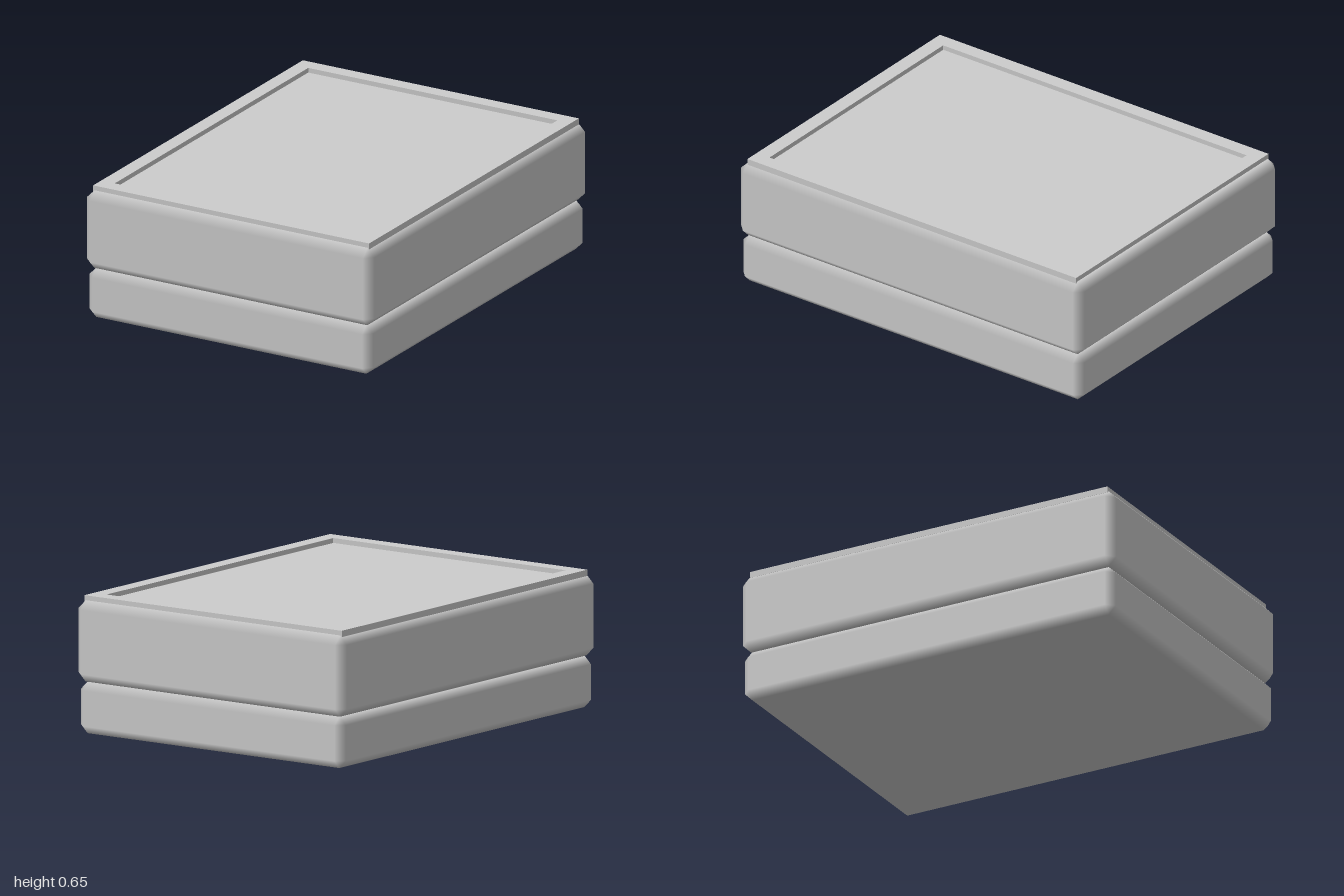
import * as THREE from 'three';
import { ConvexGeometry } from 'three/addons/geometries/ConvexGeometry.js';

// Box with chamfered edges; each vertex takes the normal of the flat face it borders,
// so the faces stay flat and the chamfers shade softly.
function chamferedBox(hx, hy, hz, c) {
  const half = [hx, hy, hz];
  const points = [];
  for (const sx of [-1, 1]) for (const sy of [-1, 1]) for (const sz of [-1, 1]) {
    const signs = [sx, sy, sz];
    for (let axis = 0; axis < 3; axis++) {
      const p = signs.map((s, i) => s * (half[i] - (i === axis ? 0 : c)));
      points.push(new THREE.Vector3(...p));
    }
  }
  const geometry = new ConvexGeometry(points);
  const pos = geometry.attributes.position;
  const normal = geometry.attributes.normal;
  for (let i = 0; i < pos.count; i++) {
    const p = [pos.getX(i), pos.getY(i), pos.getZ(i)];
    const n = p.map((v, k) => (Math.abs(Math.abs(v) - half[k]) < 1e-4 ? Math.sign(v) : 0));
    normal.setXYZ(i, ...n);
  }
  return geometry;
}

// Rectangle outline centred on the origin
function rectangle(target, hx, hz) {
  target.moveTo(-hx, -hz);
  target.lineTo(hx, -hz);
  target.lineTo(hx, hz);
  target.lineTo(-hx, hz);
  target.closePath();
  return target;
}

export function createModel() {
  const group = new THREE.Group();
  const grey = new THREE.MeshStandardMaterial({ color: 0xcccccc });
  grey.name = 'light grey';

  const add = (name, geometry, y) => {
    const mesh = new THREE.Mesh(geometry, grey);
    mesh.name = name;
    mesh.position.y = y;
    group.add(mesh);
  };

  // Stacked blocks
  add('lowerBlock', chamferedBox(0.77, 0.1225, 0.993, 0.038), 0.1225);
  add('upperBlock', chamferedBox(0.78, 0.1925, 1, 0.04), 0.4375);

  // Raised rim around the recessed top
  const rim = rectangle(new THREE.Shape(), 0.748, 0.957);
  rim.holes.push(rectangle(new THREE.Path(), 0.675, 0.883));
  const rimGeometry = new THREE.ExtrudeGeometry(rim, { depth: 0.03, bevelEnabled: false });
  rimGeometry.rotateX(-Math.PI / 2);
  add('topRim', rimGeometry, 0.623);

  return group;
}
